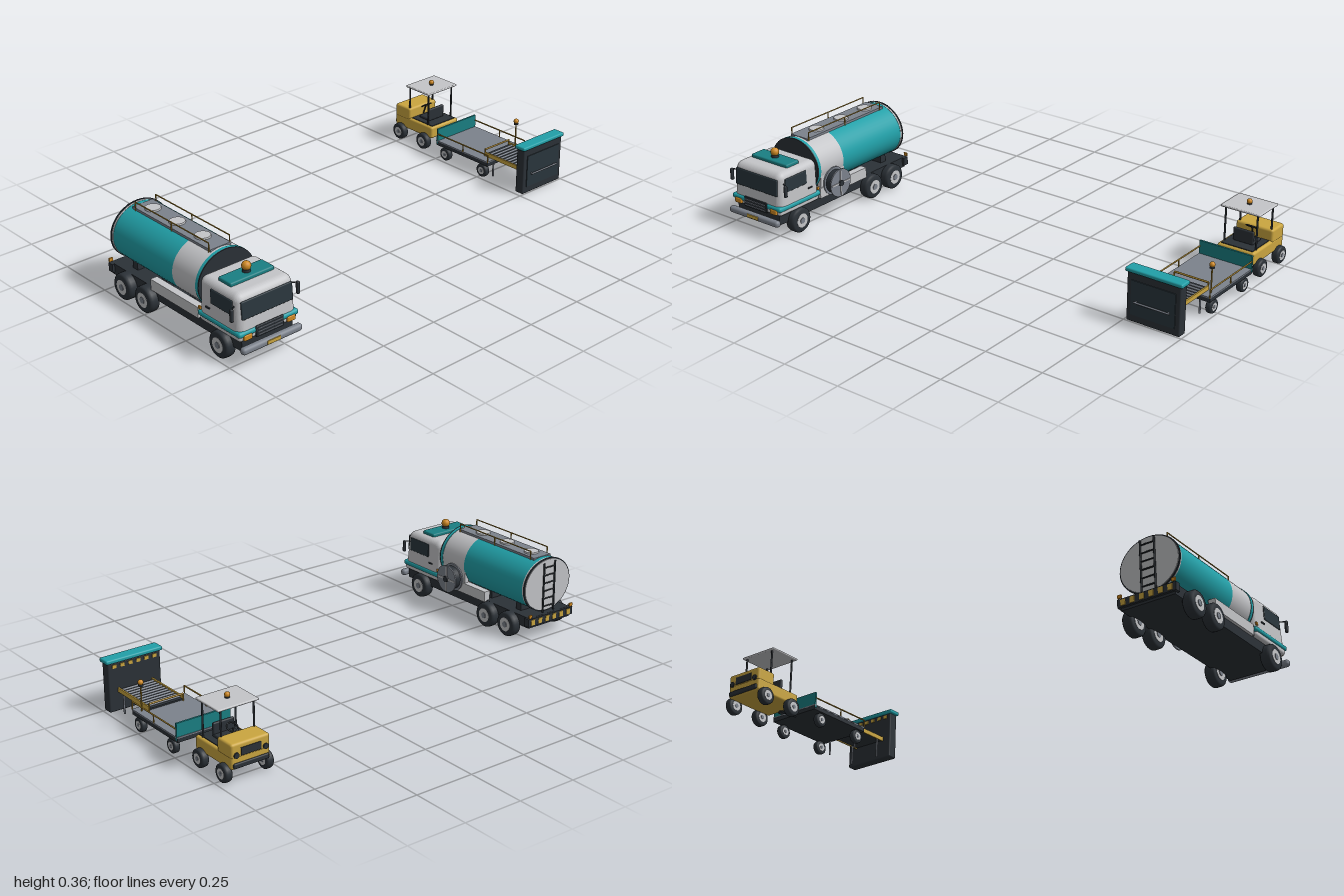
import * as THREE from 'three';
import { RoundedBoxGeometry } from 'three/addons/geometries/RoundedBoxGeometry.js';

const paint = (name, color) => {
  const m = new THREE.MeshStandardMaterial({ color });
  m.name = name;
  return m;
};
const M = {
  white: paint('light grey paint', 0xc4c5c8),
  teal: paint('teal paint', 0x21a0a8),
  deepTeal: paint('deep teal', 0x1a7f83),
  dark: paint('dark rubber', 0x2b3137),
  glass: paint('tinted glass', 0x2a363d),
  yellow: paint('yellow paint', 0xcba640),
  gold: paint('gold rail', 0xa8842c),
  amber: paint('amber lamp', 0xd08a22),
  grey: paint('steel grey', 0x7c828c),
};

function add(parent, name, geo, mat, x, y, z) {
  const m = new THREE.Mesh(geo, mat);
  m.name = name;
  m.position.set(x, y, z);
  parent.add(m);
  return m;
}
const box = (p, name, mat, w, h, d, x, y, z) => add(p, name, new THREE.BoxGeometry(w, h, d), mat, x, y, z);
const round = (p, name, mat, w, h, d, x, y, z, r = 0.008) =>
  add(p, name, new RoundedBoxGeometry(w, h, d, 3, r), mat, x, y, z);

// Straight round bar between two points
function bar(p, name, mat, a, b, r = 0.0025) {
  const A = new THREE.Vector3(...a), B = new THREE.Vector3(...b), d = B.clone().sub(A);
  const m = add(p, name, new THREE.CylinderGeometry(r, r, d.length(), 10), mat, 0, 0, 0);
  m.position.copy(A).add(B).multiplyScalar(0.5);
  m.quaternion.setFromUnitVectors(new THREE.Vector3(0, 1, 0), d.normalize());
  return m;
}

// Disc or drum lying along the x axis
function drum(p, name, mat, r, w, x, y, z, seg = 28) {
  const m = add(p, name, new THREE.CylinderGeometry(r, r, w, seg), mat, x, y, z);
  m.rotation.z = Math.PI / 2;
  return m;
}

// Tyre with rounded shoulders, hub and cap
function wheel(p, r, w, x, y, z) {
  const g = new THREE.Group();
  g.name = 'wheel';
  const h = w / 2, prof = [[r * 0.5, -h], [r * 0.86, -h], [r * 0.97, -h * 0.75], [r, -h * 0.4], [r, h * 0.4],
    [r * 0.97, h * 0.75], [r * 0.86, h], [r * 0.5, h]].map(q => new THREE.Vector2(...q));
  add(g, 'tyre', new THREE.LatheGeometry(prof, 28), M.dark, 0, 0, 0).rotation.z = Math.PI / 2;
  drum(g, 'hub', M.white, r * 0.56, w * 1.04, 0, 0, 0);
  drum(g, 'hubCap', M.grey, r * 0.24, w * 1.14, 0, 0, 0, 16);
  g.position.set(x, y, z);
  p.add(g);
}

// Rotating beacon: dark collar and amber dome
function beacon(p, r, x, y, z) {
  add(p, 'beaconCollar', new THREE.CylinderGeometry(r * 0.8, r * 0.9, r * 0.7, 16), M.dark, x, y - r, z);
  add(p, 'beaconLamp', new THREE.SphereGeometry(r, 18, 12), M.amber, x, y, z);
}

// Yellow warning blocks on a dark beam, facing -z
function hazard(p, n, width, h, y, z) {
  for (let i = 0; i < n; i++)
    box(p, 'hazardStripe', M.yellow, width / n / 2, h, 0.004, ((i + 0.5) / n - 0.5) * width, y, z);
}

function makeTanker() {
  const g = new THREE.Group();
  g.name = 'tankerTruck';

  // Chassis, bumpers and wheels
  box(g, 'chassis', M.dark, 0.23, 0.045, 0.77, 0, 0.083, 0.135);
  box(g, 'rearBumper', M.dark, 0.25, 0.034, 0.025, 0, 0.088, -0.247);
  hazard(g, 6, 0.24, 0.024, 0.088, -0.26);
  for (const s of [-1, 1]) {
    for (const z of [0.42, -0.015, -0.145]) wheel(g, 0.053, 0.045, s * (z > 0.2 ? 0.122 : 0.128), 0.055, z);
    box(g, 'sideCabinet', M.white, 0.03, 0.045, 0.28, s * 0.112, 0.123, 0.15);
    box(g, 'tailLamp', M.amber, 0.016, 0.014, 0.006, s * 0.115, 0.115, -0.258);
  }
  round(g, 'frontBumper', M.grey, 0.272, 0.028, 0.028, 0, 0.078, 0.543, 0.012);
  box(g, 'numberPlate', M.yellow, 0.06, 0.014, 0.004, 0, 0.079, 0.557);

  // Cab, leaning back a little towards the roof
  const cabGeo = new RoundedBoxGeometry(0.265, 0.175, 0.232, 5, 0.03);
  const pos = cabGeo.attributes.position;
  for (let i = 0; i < pos.count; i++) {
    const t = (pos.getY(i) + 0.0875) / 0.175;
    if (pos.getZ(i) > 0) pos.setZ(i, pos.getZ(i) - 0.014 * t);
    pos.setX(i, pos.getX(i) * (1 - 0.04 * t));
  }
  cabGeo.computeVertexNormals();
  add(g, 'cab', cabGeo, M.white, 0, 0.194, 0.415);
  round(g, 'cabFloor', M.white, 0.262, 0.03, 0.228, 0, 0.118, 0.415, 0.012);
  round(g, 'cabStripe', M.teal, 0.272, 0.022, 0.24, 0, 0.133, 0.415, 0.01);
  const shield = round(g, 'windscreen', M.glass, 0.23, 0.07, 0.009, 0, 0.222, 0.5225, 0.004);
  shield.rotation.x = -0.08;
  round(g, 'grille', M.dark, 0.125, 0.044, 0.008, 0, 0.127, 0.534, 0.003);
  for (let i = 0; i < 3; i++) box(g, 'grilleSlat', M.grey, 0.11, 0.003, 0.003, 0, 0.115 + i * 0.012, 0.539);
  for (const s of [-1, 1]) {
    round(g, 'headlight', M.amber, 0.036, 0.022, 0.012, s * 0.098, 0.12, 0.533, 0.004);
    const win = round(g, 'sideWindow', M.glass, 0.008, 0.058, 0.122, s * 0.1285, 0.227, 0.432, 0.0035);
    win.rotation.z = s * 0.03;
    box(g, 'doorHandle', M.dark, 0.005, 0.005, 0.022, s * 0.133, 0.175, 0.355);
    round(g, 'mirror', M.dark, 0.012, 0.05, 0.014, s * 0.15, 0.215, 0.512, 0.004);
    bar(g, 'mirrorArm', M.dark, [s * 0.122, 0.237, 0.495], [s * 0.15, 0.237, 0.512]);
    box(g, 'markerLamp', M.amber, 0.006, 0.012, 0.012, s * 0.131, 0.155, 0.308);
  }
  round(g, 'roofPad', M.deepTeal, 0.198, 0.02, 0.072, 0, 0.285, 0.412, 0.006);
  beacon(g, 0.018, 0, 0.317, 0.412);

  // Oval tank in coloured bands
  const oval = (name, mat, z0, z1, k = 1) => {
    const geo = new THREE.CylinderGeometry(1, 1, z1 - z0, 48).rotateX(Math.PI / 2);
    add(g, name, geo, mat, 0, 0.224, (z0 + z1) / 2).scale.set(0.126 * k, 0.112 * k, 1);
  };
  oval('tankFront', M.white, 0.145, 0.29);
  oval('tankRear', M.teal, -0.218, 0.145);
  oval('frontBand', M.teal, 0.281, 0.294, 1.015);
  oval('frontRim', M.dark, 0.294, 0.299, 1.015);
  oval('rearBand', M.white, -0.223, -0.215, 1.01);
  oval('rearRim', M.dark, -0.229, -0.223, 1.03);
  oval('rearCap', M.white, -0.232, -0.225, 0.985);
  for (const z of [-0.15, 0.03, 0.2]) box(g, 'tankSaddle', M.dark, 0.16, 0.04, 0.03, 0, 0.118, z);

  // Walkway, hatches and handrails
  box(g, 'walkway', M.grey, 0.092, 0.012, 0.465, 0, 0.332, 0.037);
  for (const z of [-0.13, 0.017, 0.167])
    add(g, 'hatch', new THREE.CylinderGeometry(0.03, 0.032, 0.008, 24), M.white, 0, 0.34, z);
  for (const s of [-1, 1]) {
    const x = s * 0.047;
    bar(g, 'handrail', M.gold, [x, 0.363, 0.262], [x, 0.363, -0.175]);
    for (const z of [0.262, 0.044, -0.175]) bar(g, 'railPost', M.gold, [x, 0.325, z], [x, 0.364, z]);
  }

  // Rear ladder
  for (const s of [-1, 1]) bar(g, 'ladderSide', M.dark, [s * 0.03, 0.11, -0.242], [s * 0.03, 0.325, -0.242], 0.004);
  for (let i = 0; i < 6; i++)
    bar(g, 'ladderRung', M.dark, [-0.03, 0.135 + i * 0.034, -0.242], [0.03, 0.135 + i * 0.034, -0.242], 0.003);

  // Hose reel on the left side
  box(g, 'reelBack', M.white, 0.02, 0.108, 0.14, 0.112, 0.161, 0.21);
  drum(g, 'hose', M.dark, 0.05, 0.034, 0.145, 0.155, 0.21);
  for (const x of [0.128, 0.164]) drum(g, 'reelFlange', M.grey, 0.06, 0.006, x, 0.155, 0.21, 36);
  box(g, 'reelSpoke', M.white, 0.004, 0.006, 0.108, 0.168, 0.155, 0.21);
  box(g, 'reelSpoke', M.white, 0.004, 0.108, 0.006, 0.168, 0.155, 0.21);
  drum(g, 'reelHub', M.dark, 0.013, 0.012, 0.168, 0.155, 0.21, 18);
  return g;
}

function makeTrailer() {
  const g = new THREE.Group();
  g.name = 'equipmentTrailer';

  // Bed with wheels and drawbar
  box(g, 'bedFrame', M.dark, 0.23, 0.018, 0.305, 0, 0.071, -0.106);
  box(g, 'bedDeck', M.grey, 0.232, 0.005, 0.307, 0, 0.081, -0.106);
  for (const s of [-1, 1]) for (const z of [0.01, -0.21]) wheel(g, 0.029, 0.024, s * 0.102, 0.031, z);
  bar(g, 'drawbar', M.dark, [0, 0.062, -0.25], [0, 0.055, -0.34], 0.005);
  box(g, 'headboard', M.deepTeal, 0.232, 0.068, 0.008, 0, 0.104, -0.253);

  // Side rails and warning lamp
  for (const s of [-1, 1]) {
    const x = s * 0.114;
    bar(g, 'sideRail', M.gold, [x, 0.114, 0.047], [x, 0.114, -0.253], 0.003);
    for (const z of [0.047, -0.1]) bar(g, 'sidePost', M.gold, [x, 0.08, z], [x, 0.115, z]);
  }
  bar(g, 'lampPost', M.gold, [0.096, 0.08, 0.01], [0.096, 0.185, 0.01], 0.003);
  beacon(g, 0.011, 0.096, 0.199, 0.01);

  // Roller ramp between bed and board
  box(g, 'rampBed', M.dark, 0.146, 0.006, 0.215, 0, 0.089, 0.102);
  for (let i = 0; i < 10; i++) bar(g, 'roller', M.grey, [-0.07, 0.094, 0.015 + i * 0.02], [0.07, 0.094, 0.015 + i * 0.02], 0.005);
  for (const s of [-1, 1]) {
    box(g, 'rampSide', M.yellow, 0.006, 0.018, 0.215, s * 0.074, 0.092, 0.102);
    for (const z of [0.18, 0.04]) bar(g, 'rampLeg', M.grey, [s * 0.07, 0.002, z], [s * 0.07, 0.085, z], 0.004);
    bar(g, 'stopPost', M.gold, [s * 0.074, 0.083, -0.007], [s * 0.074, 0.112, -0.007], 0.003);
  }
  bar(g, 'stopBar', M.gold, [-0.074, 0.112, -0.007], [0.074, 0.112, -0.007], 0.004);

  // Upright board with teal cap
  round(g, 'board', M.dark, 0.23, 0.2, 0.042, 0, 0.105, 0.231, 0.006);
  round(g, 'boardCap', M.teal, 0.246, 0.017, 0.054, 0, 0.212, 0.231, 0.006);
  hazard(g, 6, 0.21, 0.014, 0.19, 0.209);
  box(g, 'boardPanel', M.glass, 0.19, 0.14, 0.004, 0, 0.105, 0.253);
  bar(g, 'boardHandle', M.grey, [-0.076, 0.093, 0.264], [0.076, 0.093, 0.264], 0.004);
  for (const s of [-1, 1]) bar(g, 'handleBracket', M.grey, [s * 0.07, 0.093, 0.25], [s * 0.07, 0.093, 0.264], 0.003);
  return g;
}

function makeTug() {
  const g = new THREE.Group();
  g.name = 'towTractor';

  // Body and wheels, nose towards -z
  round(g, 'body', M.yellow, 0.165, 0.054, 0.228, 0, 0.083, -0.437, 0.01);
  round(g, 'hood', M.yellow, 0.165, 0.058, 0.09, 0, 0.127, -0.507, 0.01);
  box(g, 'floor', M.dark, 0.14, 0.004, 0.125, 0, 0.111, -0.395);
  for (const s of [-1, 1]) for (const z of [-0.365, -0.512]) wheel(g, 0.036, 0.03, s * 0.088, 0.038, z);
  round(g, 'noseBumper', M.dark, 0.15, 0.02, 0.014, 0, 0.072, -0.551, 0.005);
  box(g, 'noseGrille', M.dark, 0.085, 0.03, 0.006, 0, 0.122, -0.552);
  for (const s of [-1, 1]) drum(g, 'headlight', M.dark, 0.011, 0.01, s * 0.062, 0.112, -0.552, 16).rotation.set(Math.PI / 2, 0, 0);
  box(g, 'towHitch', M.dark, 0.03, 0.016, 0.02, 0, 0.058, -0.325);

  // Seat and steering
  round(g, 'seatCushion', M.dark, 0.09, 0.013, 0.062, 0, 0.119, -0.408, 0.005);
  round(g, 'seatBack', M.dark, 0.09, 0.052, 0.013, 0, 0.142, -0.383, 0.005);
  bar(g, 'steeringColumn', M.dark, [0, 0.115, -0.458], [0, 0.158, -0.442], 0.003);
  add(g, 'steeringWheel', new THREE.TorusGeometry(0.021, 0.003, 8, 24), M.dark, 0, 0.16, -0.44).rotation.x = 1.05;

  // Canopy
  for (const s of [-1, 1]) for (const z of [-0.358, -0.473])
    bar(g, 'canopyPost', M.dark, [s * 0.07, 0.1, z], [s * 0.07, 0.256, z], 0.004);
  round(g, 'canopy', M.white, 0.174, 0.009, 0.142, 0, 0.26, -0.413, 0.004);
  beacon(g, 0.011, 0, 0.276, -0.413);
  return g;
}

export function createModel() {
  const root = new THREE.Group();
  root.name = 'airfieldVehicles';
  const tanker = makeTanker(), trailer = makeTrailer(), tug = makeTug();
  tanker.position.x = -0.844;
  trailer.position.x = tug.position.x = 0.877;
  root.add(tanker, trailer, tug);
  return root;
}
